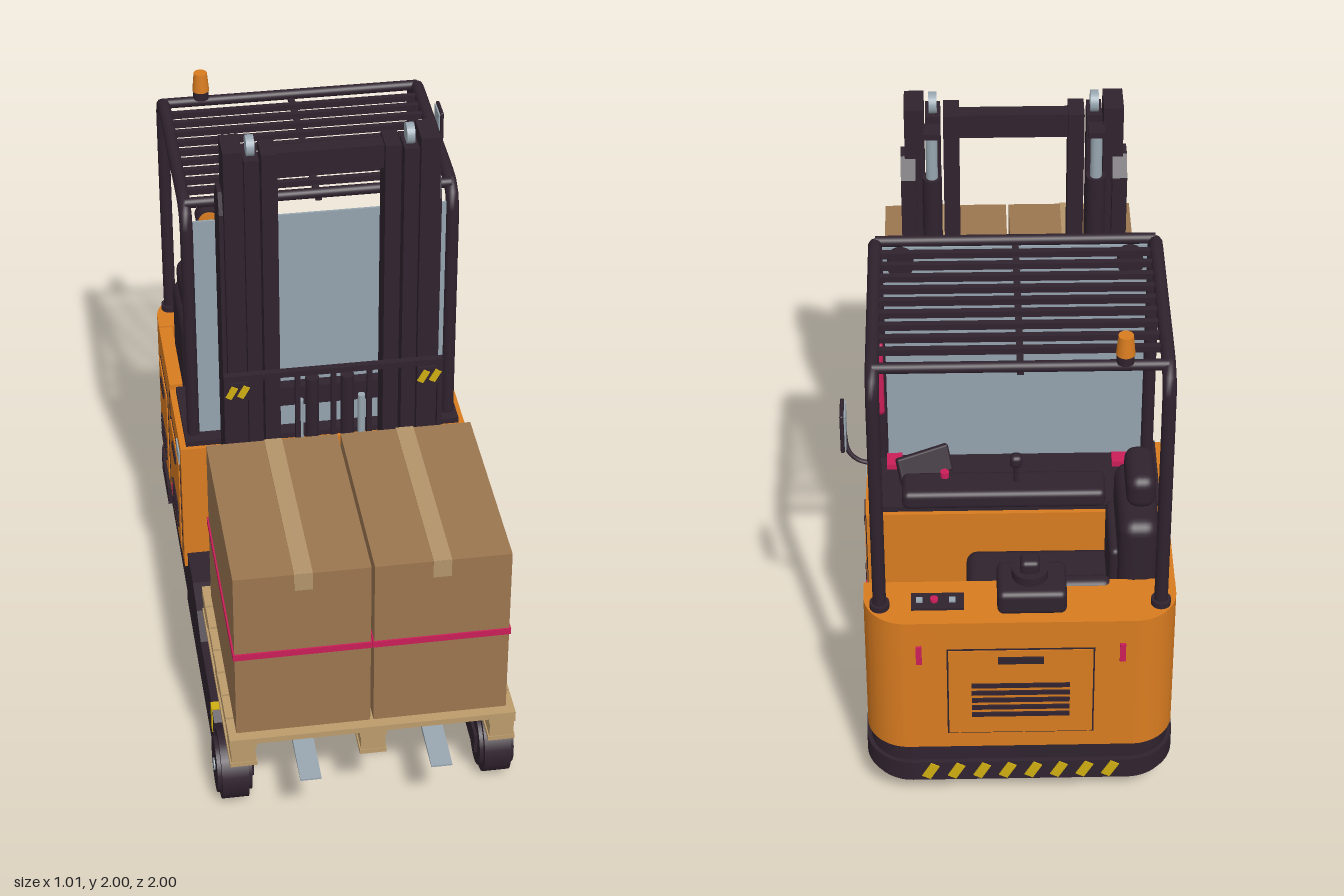
import * as THREE from 'three';
import { toCreasedNormals } from 'three/addons/utils/BufferGeometryUtils.js';
import { RoundedBoxGeometry } from 'three/addons/geometries/RoundedBoxGeometry.js';

const mat = (name, color) => Object.assign(new THREE.MeshStandardMaterial({ color }), { name });

export function createModel() {
  const orange = mat('orange paint', 0xd97c20), dark = mat('dark frame', 0x30232f),
    card = mat('cardboard', 0x9c7650), tape = mat('tape', 0xb3946a), wood = mat('pallet wood', 0xbc9c6c),
    pink = mat('pink accent', 0xcb1f59), yellow = mat('yellow', 0xcfae12), steel = mat('steel', 0x98a6b0),
    glass = mat('glass', 0x94a3ae);
  glass.side = THREE.DoubleSide;

  const model = new THREE.Group(), truck = new THREE.Group();
  truck.name = 'reachTruck';
  truck.position.x = -0.02;
  model.add(truck);

  const add = (name, geo, m) => {
    const mesh = new THREE.Mesh(geo, m);
    mesh.name = name;
    truck.add(mesh);
    return mesh;
  };
  // Box given by its limits on each axis
  const box = (name, m, x0, x1, y0, y1, z0, z1) => {
    const b = add(name, new THREE.BoxGeometry(x1 - x0, y1 - y0, z1 - z0), m);
    b.position.set((x0 + x1) / 2, (y0 + y1) / 2, (z0 + z1) / 2);
    return b;
  };
  const soft = (name, m, r, x0, x1, y0, y1, z0, z1) => {
    const b = add(name, new RoundedBoxGeometry(x1 - x0, y1 - y0, z1 - z0, 3, r), m);
    b.position.set((x0 + x1) / 2, (y0 + y1) / 2, (z0 + z1) / 2);
    return b;
  };
  const cyl = (name, m, r, len, x, y, z, axis = 'y', rTop = r) => {
    const c = add(name, new THREE.CylinderGeometry(rTop, r, len, 24), m);
    if (axis === 'x') c.rotation.z = Math.PI / 2;
    if (axis === 'z') c.rotation.x = Math.PI / 2;
    c.position.set(x, y, z);
    return c;
  };
  const tube = (name, m, r, pts, tension = 0.1) => add(name, new THREE.TubeGeometry(
    new THREE.CatmullRomCurve3(pts.map(p => new THREE.Vector3(...p)), false, 'catmullrom', tension), 48, r, 10), m);
  // Side profile of [z, y] points, extruded across x
  const profile = (name, m, pts, x0, x1) => {
    const s = new THREE.Shape(pts.map(p => new THREE.Vector2(...p)));
    const g = new THREE.ExtrudeGeometry(s, { depth: x1 - x0, bevelEnabled: false });
    return add(name, g.rotateY(-Math.PI / 2).translate(x1, 0, 0), m);
  };
  // Plan slab with rounded rear corners
  const slab = (name, m, hw, zf, zb, r, y0, y1) => {
    const s = new THREE.Shape();
    s.moveTo(-hw, -zf).lineTo(hw, -zf).lineTo(hw, -zb - r);
    s.absarc(hw - r, -zb - r, r, 0, Math.PI / 2, false);
    s.absarc(-hw + r, -zb - r, r, Math.PI / 2, Math.PI, false);
    const g = new THREE.ExtrudeGeometry(s, { depth: y1 - y0, bevelEnabled: false, curveSegments: 12 });
    return add(name, toCreasedNormals(g.rotateX(-Math.PI / 2).translate(0, y0, 0), 0.6), m);
  };
  const both = fn => [-1, 1].forEach(fn);
  // Box mirrored by side s: limits a..b measured outwards from the centre
  const sideBox = (name, m, s, a, b, ...yz) => box(name, m, Math.min(s * a, s * b), Math.max(s * a, s * b), ...yz);

  // Chassis and bumper
  slab('chassis', dark, 0.465, -0.09, -0.975, 0.13, 0.1, 0.255);
  slab('bumper', dark, 0.48, -0.63, -0.99, 0.15, 0.12, 0.19);
  box('mastCradle', dark, -0.36, 0.36, 0.07, 0.2, -0.17, 0.1);
  box('cradleTop', dark, -0.34, 0.34, 0.2, 0.27, -0.09, 0.05);
  for (let i = 0; i < 8; i++) {
    const st = box('hazardStripe', yellow, -0.015, 0.015, 0.125, 0.185, -0.994, -0.988);
    st.position.x = -0.28 + i * 0.08;
    st.rotation.z = 0.5;
  }

  // Support legs and wheels
  both(s => {
    const a = s > 0 ? 0.36 : -0.465;
    profile('supportLeg', dark, [[0.62, 0.09], [0.64, 0.21], [0.6, 0.235], [0.27, 0.235], [0.17, 0.285], [0.06, 0.315],
      [-0.1, 0.315], [-0.1, 0.25], [-0.17, 0.25], [-0.17, 0.055], [0.57, 0.055]], a, a + 0.105);
    sideBox('legFork', dark, s, 0.355, 0.372, 0.09, 0.16, 0.6, 0.77);
    cyl('loadWheel', dark, 0.112, 0.085, s * 0.42, 0.115, 0.725, 'x');
    cyl('loadWheelRim', dark, 0.09, 0.11, s * 0.42, 0.115, 0.725, 'x');
    cyl('loadWheelHub', steel, 0.02, 0.118, s * 0.42, 0.115, 0.725, 'x');
    sideBox('legMark', yellow, s, 0.464, 0.468, 0.14, 0.235, 0.57, 0.605);
    sideBox('legMarkTop', yellow, s, 0.4, 0.468, 0.234, 0.238, 0.57, 0.605);
    sideBox('legRail', steel, s, 0.352, 0.36, 0.11, 0.17, 0.12, 0.55);
    cyl('caster', dark, 0.058, 0.055, s * 0.305, 0.06, -0.78, 'x');
    cyl('casterHub', steel, 0.03, 0.065, s * 0.305, 0.06, -0.78, 'x');
    sideBox('casterBracket', dark, s, 0.265, 0.275, 0.05, 0.12, -0.82, -0.74);
  });
  cyl('driveWheel', dark, 0.115, 0.1, 0, 0.12, -0.72, 'x');
  cyl('driveHub', steel, 0.03, 0.106, 0, 0.06, -0.72, 'x');

  // Orange body: front console, side wall, seat base and counterweight
  box('frontConsole', orange, -0.475, 0.475, 0.255, 0.745, -0.45, -0.105);
  box('dashTop', dark, -0.455, 0.455, 0.745, 0.765, -0.435, -0.12);
  slab('counterweight', orange, 0.475, -0.795, -0.985, 0.13, 0.255, 0.77);
  box('sideWall', orange, -0.475, -0.43, 0.255, 0.765, -0.796, -0.449);
  box('seatBase', orange, -0.43, 0.14, 0.255, 0.5, -0.79, -0.47);
  box('seatBasePlate', dark, 0.138, 0.146, 0.28, 0.42, -0.75, -0.52);
  box('deck', dark, -0.43, 0.14, 0.5, 0.515, -0.795, -0.45);
  box('footMat', dark, 0.14, 0.45, 0.255, 0.265, -0.795, -0.45);
  box('stepEdge', yellow, 0.445, 0.478, 0.255, 0.272, -0.79, -0.45);
  [-0.54, -0.62, -0.7].forEach(z => box('pedal', dark, 0.2, 0.29, 0.265, 0.3, z - 0.03, z + 0.03));

  // Seat facing sideways
  soft('seatCushion', dark, 0.035, -0.36, 0.16, 0.505, 0.61, -0.795, -0.455);
  soft('seatBack', dark, 0.045, -0.425, -0.3, 0.57, 0.98, -0.8, -0.465);
  soft('seatPad', dark, 0.02, -0.31, -0.275, 0.63, 0.85, -0.76, -0.51);
  soft('headrest', dark, 0.035, -0.415, -0.325, 0.985, 1.1, -0.73, -0.54);
  both(s => cyl('headrestPost', dark, 0.01, 0.06, -0.37, 0.98, -0.635 + s * 0.05));
  soft('armrest', dark, 0.025, -0.28, 0.02, 0.72, 0.78, -0.83, -0.77);

  // Dashboard controls
  soft('controlPod', dark, 0.02, -0.28, 0.36, 0.76, 0.825, -0.45, -0.33);
  const screen = soft('screen', dark, 0.008, 0.2, 0.38, 0.775, 0.865, -0.305, -0.28);
  screen.rotation.set(0.45, 0.45, 0, 'YXZ');
  cyl('joystick', dark, 0.008, 0.12, 0.0, 0.86, -0.385);
  soft('joystickKnob', dark, 0.015, -0.02, 0.02, 0.885, 0.93, -0.405, -0.365);
  cyl('stopButton', pink, 0.014, 0.02, 0.225, 0.835, -0.36);
  box('pinkSwitch', pink, 0.36, 0.41, 0.765, 0.785, -0.25, -0.19);
  box('pinkSwitch', pink, -0.37, -0.31, 0.765, 0.785, -0.25, -0.2);
  // Rear deck console and switch panel
  soft('rearConsole', dark, 0.02, -0.14, 0.07, 0.765, 0.85, -0.95, -0.79);
  cyl('rearDial', dark, 0.055, 0.03, -0.03, 0.865, -0.86);
  soft('rearLever', dark, 0.015, -0.06, 0.0, 0.87, 0.92, -0.89, -0.83);
  box('switchPanel', dark, 0.17, 0.33, 0.77, 0.778, -0.925, -0.855);
  cyl('panelButton', pink, 0.012, 0.018, 0.26, 0.78, -0.89);
  both(s => box('panelSwitch', steel, 0.245 + s * 0.05, 0.265 + s * 0.05, 0.778, 0.784, -0.9, -0.88));

  // Service panels on the sides: frame lines, handle and vents
  const sidePanel = (s, z0, z1, y1) => {
    const mid = (z0 + z1) / 2;
    sideBox('panelSeam', dark, s, 0.474, 0.477, 0.295, y1, z0, z1);
    sideBox('servicePanel', orange, s, 0.474, 0.481, 0.3, y1 - 0.005, z0 + 0.005, z1 - 0.005);
    sideBox('panelHandle', dark, s, 0.48, 0.486, y1 - 0.062, y1 - 0.037, mid - 0.05, mid + 0.05);
    for (let i = 0; i < 4; i++)
      sideBox('vent', dark, s, 0.48, 0.486, 0.355 + i * 0.026, 0.368 + i * 0.026, mid - 0.08, mid + 0.08);
  };
  both(s => {
    sidePanel(s, -0.41, -0.14, 0.66);
    sideBox('sidePlate', steel, s, 0.474, 0.48, 0.66, 0.71, -0.22, -0.14);
    sideBox('pinkTag', pink, s, 0.48, 0.486, 0.37, 0.395, -0.39, -0.36);
    sideBox('bodySeam', dark, s, 0.474, 0.477, 0.255, 0.745, -0.452, -0.446);
  });
  sidePanel(-1, -0.78, -0.53, 0.66);

  // Rear panel
  box('rearSeam', dark, -0.225, 0.225, 0.315, 0.665, -0.987, -0.984);
  box('rearPanel', orange, -0.22, 0.22, 0.32, 0.66, -0.99, -0.984);
  box('rearHandle', dark, -0.07, 0.07, 0.61, 0.635, -0.996, -0.988);
  for (let i = 0; i < 5; i++) box('rearVent', dark, -0.15, 0.15, 0.39 + i * 0.03, 0.406 + i * 0.03, -0.995, -0.988);
  both(s => sideBox('rearLamp', pink, s, 0.3, 0.318, 0.61, 0.68, -0.992, -0.983));

  // Overhead guard
  both(s => {
    const x = s * 0.425;
    tube('guardFrame', dark, 0.021, [[x, 0.75, -0.17], [x, 1.1, -0.17], [x, 1.54, -0.17], [x, 1.6, -0.188], [x, 1.628, -0.25],
      [x, 1.628, -0.5], [x, 1.628, -0.82], [x, 1.6, -0.88], [x, 1.54, -0.9], [x, 1.1, -0.905], [x, 0.76, -0.905]], 0.4);
    cyl('guardFoot', dark, 0.03, 0.03, x, 0.775, -0.905);
    const lamp = cyl('workLamp', dark, 0.04, 0.05, s * 0.35, 1.56, -0.225, 'z');
    lamp.rotation.x = Math.PI / 2;
    cyl('lampLens', orange, 0.034, 0.008, s * 0.35, 1.56, -0.198, 'z');
  });
  cyl('guardFrontBar', dark, 0.017, 0.85, 0, 1.628, -0.21, 'x');
  cyl('guardRearBar', dark, 0.017, 0.85, 0, 1.628, -0.84, 'x');
  for (let i = 0; i < 9; i++) box('guardSlat', dark, -0.42, 0.42, 1.618, 1.638, -0.29 - i * 0.06, -0.27 - i * 0.06);
  box('guardSpine', dark, -0.01, 0.01, 1.605, 1.622, -0.85, -0.2);
  box('windshield', glass, -0.405, 0.405, 0.765, 1.58, -0.178, -0.17);
  tube('grabHandle', pink, 0.013, [[0.425, 1.23, -0.18], [0.425, 1.22, -0.205], [0.425, 1.18, -0.215],
    [0.425, 1.0, -0.215], [0.425, 0.97, -0.205], [0.425, 0.955, -0.18]], 0.4);
  cyl('beaconBase', dark, 0.026, 0.03, -0.3, 1.655, -0.84);
  cyl('beacon', orange, 0.028, 0.065, -0.3, 1.702, -0.84, 'y', 0.022);

  // Mirror
  tube('mirrorArm', dark, 0.007, [[0.425, 1.33, -0.905], [0.47, 1.345, -0.905], [0.5, 1.38, -0.9], [0.51, 1.44, -0.88]], 0.5);
  soft('mirrorShell', dark, 0.005, 0.508, 0.52, 1.38, 1.515, -0.92, -0.83);
  box('mirrorGlass', steel, 0.503, 0.509, 1.388, 1.507, -0.914, -0.836);

  // Mast: three nested rail pairs, lift cylinders and pulleys
  both(s => {
    const a = s > 0 ? 0.3 : -0.345;
    profile('outerRail', dark, [[0.06, 0.2], [0.06, 1.74], [0.035, 1.81], [-0.02, 1.81], [-0.065, 1.75], [-0.065, 0.2]], a, a + 0.045);
    sideBox('middleRail', dark, s, 0.272, 0.332, 0.25, 1.975, -0.025, 0.09);
    sideBox('innerRail', dark, s, 0.222, 0.268, 0.28, 1.94, -0.005, 0.085);
    sideBox('carriageRail', dark, s, 0.165, 0.214, 0.28, 1.95, -0.02, 0.075);
    cyl('liftCylinder', dark, 0.03, 1.5, s * 0.25, 1.0, -0.045);
    cyl('liftRod', steel, 0.018, 0.18, s * 0.25, 1.82, -0.047);
    box('rodCap', dark, s * 0.25 - 0.025, s * 0.25 + 0.025, 1.895, 1.915, -0.065, 0);
    cyl('pulley', steel, 0.033, 0.025, s * 0.245, 1.967, 0.035, 'x');
    cyl('freeLiftCylinder', dark, 0.022, 0.8, s * 0.057, 0.69, 0.03);
    cyl('chainRod', steel, 0.012, 0.72, s * 0.1, 0.66, 0.05);
  });
  box('mastTopBar', dark, -0.17, 0.17, 1.86, 1.94, 0, 0.05);
  box('mastMiddleBar', dark, -0.3, 0.3, 0.95, 1.02, -0.06, -0.02);
  box('mastLowerBar', dark, -0.34, 0.34, 0.28, 0.36, -0.06, 0);

  // Carriage, load backrest and forks
  box('carriagePlate', dark, -0.33, 0.33, 0.3, 0.39, 0.08, 0.13);
  box('carriagePlate', dark, -0.33, 0.33, 0.56, 0.65, 0.08, 0.13);
  box('backrestTop', dark, -0.35, 0.35, 1.162, 1.182, 0.1, 0.122);
  [-0.342, -0.115, 0, 0.115, 0.342].forEach(x => box('backrestBar', dark, x - 0.008, x + 0.008, 0.3, 1.17, 0.1, 0.12));
  both(s => {
    sideBox('warningPlate', dark, s, 0.27, 0.34, 1.085, 1.15, 0.108, 0.117);
    both(k => {
      const w = box('warningStripe', yellow, -0.011, 0.011, 1.095, 1.14, 0.116, 0.121);
      w.position.x = s * 0.307 + k * 0.019;
      w.rotation.z = -0.5;
    });
    const a = s * 0.205 - 0.033;
    profile('fork', steel, [[0.13, 0.67], [0.13, 0.255], [0.3, 0.255], [1.0, 0.262], [1.0, 0.268], [0.7, 0.285],
      [0.168, 0.285], [0.168, 0.67]], a, a + 0.066);
  });

  // Pallet
  for (let i = 0; i < 7; i++) box('deckBoard', wood, -0.447, 0.447, 0.375, 0.395, 0.18 + i * 0.109, 0.28 + i * 0.109);
  [-0.405, 0, 0.405].forEach(x => {
    box('stringer', wood, x - 0.042, x + 0.042, 0.358, 0.375, 0.18, 0.934);
    box('bottomBoard', wood, x - 0.042, x + 0.042, 0.287, 0.303, 0.18, 0.934);
    [0.235, 0.557, 0.879].forEach(z => box('block', wood, x - 0.038, x + 0.038, 0.303, 0.358, z - 0.053, z + 0.053));
  });

  // Cartons with straps and tape
  both(s => {
    sideBox('carton', card, s, 0.005, 0.422, 0.395, 1.0, 0.225, 0.9);
    sideBox('strap', pink, s, 0.001, 0.427, 0.69, 0.712, 0.22, 0.905);
    sideBox('topTape', tape, s, 0.182, 0.238, 0.998, 1.003, 0.223, 0.902);
    both(k => box('tapeEnd', tape, s * 0.21 - 0.028, s * 0.21 + 0.028, 0.94, 1.002, 0.5625 + k * 0.337 - 0.003, 0.5625 + k * 0.337 + 0.003));
  });
  return model;
}
